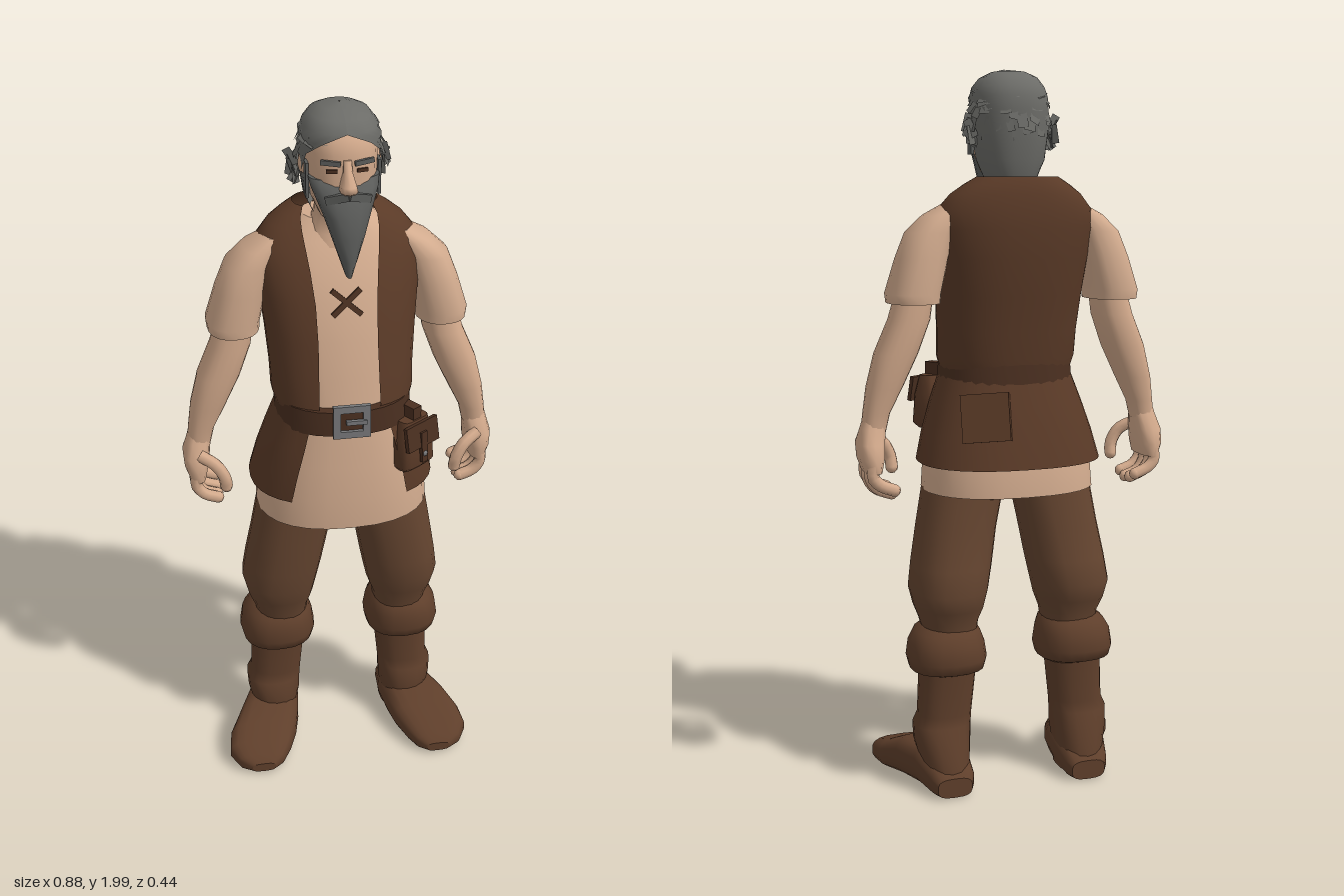
import * as THREE from 'three';
import { mergeGeometries } from 'three/addons/utils/BufferGeometryUtils.js';

const mat = (name, color, side = THREE.FrontSide) => {
  const m = new THREE.MeshStandardMaterial({ color, side });
  m.name = name;
  return m;
};

// Skin over level rings [y, x0, x1, z0, z1, halfOpening], listed bottom to top.
// A halfOpening leaves a gap of that half width at the front.
function loft(rings, { n = 20, p = 0.85, open = false, caps = true } = {}) {
  const pos = [], idx = [], cols = open ? n + 1 : n;
  const sp = v => Math.sign(v) * Math.abs(v) ** p;
  const ringPoints = ([y, x0, x1, z0, z1, w = 0]) => {
    const rx = (x1 - x0) / 2, rz = (z1 - z0) / 2;
    const a = open ? Math.asin(Math.min(1, w / rx) ** (1 / p)) : 0;
    return Array.from({ length: cols }, (_, j) => {
      const t = a + (2 * Math.PI - 2 * a) * j / n;
      return [(x0 + x1) / 2 + rx * sp(Math.sin(t)), y, (z0 + z1) / 2 + rz * sp(Math.cos(t))];
    });
  };
  rings.forEach(r => pos.push(...ringPoints(r).flat()));
  for (let i = 0; i < rings.length - 1; i++) for (let j = 0; j < n; j++) {
    const k = open ? j + 1 : (j + 1) % n;
    const a = i * cols + j, b = i * cols + k;
    idx.push(a, b, a + cols, b, b + cols, a + cols);
  }
  if (caps && !open) for (const top of [false, true]) {
    const r = top ? rings[rings.length - 1] : rings[0], base = pos.length / 3;
    pos.push(...ringPoints(r).flat(), (r[1] + r[2]) / 2, r[0], (r[3] + r[4]) / 2);
    for (let j = 0; j < n; j++) {
      const a = base + j, b = base + (j + 1) % n;
      idx.push(base + n, ...(top ? [a, b] : [b, a]));
    }
  }
  const g = new THREE.BufferGeometry();
  g.setAttribute('position', new THREE.Float32BufferAttribute(pos, 3));
  g.setIndex(idx);
  g.computeVertexNormals();
  return g;
}
// Rings centred on x = 0: [y, halfWidth, z0, z1, halfOpening]
const mid = rows => rows.map(([y, x, ...r]) => [y, -x, x, ...r]);
const flip = (rows, s) => s > 0 ? rows : rows.map(([y, a, b, ...r]) => [y, -b, -a, ...r]);

export function createModel() {
  const root = new THREE.Group();
  root.name = 'beardedVillager';
  const D = THREE.DoubleSide;
  const skin = mat('skin', 0xd3aa8c), linen = mat('linen', 0xd2ab8e, D);
  const leather = mat('vestLeather', 0x5a3a27, D), cloth = mat('trouserBrown', 0x654530);
  const boot = mat('bootBrown', 0x5f3f2b), dark = mat('beltBrown', 0x4a2f20);
  const hair = mat('greyHair', 0x6c6c68, D), beardGrey = mat('beardGrey', 0x5c5d5b);
  const metal = mat('buckleMetal', 0x77787a);

  const add = (name, geo, m, parent = root) => {
    const o = new THREE.Mesh(geo, m);
    o.name = name;
    parent.add(o);
    return o;
  };
  const box = (name, size, at, m, rot = [0, 0, 0], parent = root) => {
    const o = add(name, new THREE.BoxGeometry(...size), m, parent);
    o.position.set(...at);
    o.rotation.set(...rot);
    return o;
  };

  // Tunic, with its skirt below the belt
  add('tunic', loft(mid([[1.18, .165, -.125, .16], [1.3, .175, -.135, .14], [1.4, .185, -.155, .12],
    [1.5, .195, -.17, .092], [1.58, .19, -.175, .058], [1.64, .165, -.17, .022], [1.69, .09, -.15, -.01]])), linen);
  add('tunicSkirt', loft(mid([[.86, .242, -.195, .188], [.95, .235, -.19, .188], [1.05, .212, -.165, .178],
    [1.13, .188, -.14, .17], [1.2, .165, -.125, .16]]), { n: 28, caps: false }), linen);
  add('hips', loft(mid([[.84, .2, -.11, .11], [.95, .2, -.12, .12]])), cloth);

  // Vest, open down the front, and its tails
  add('vest', loft(mid([[1.18, .178, -.135, .172, .08], [1.23, .192, -.147, .167, .082], [1.3, .194, -.155, .153, .08],
    [1.4, .202, -.172, .133, .078], [1.5, .213, -.187, .105, .08], [1.58, .222, -.192, .07, .088],
    [1.63, .213, -.19, .042, .095], [1.67, .18, -.183, .016, .1], [1.695, .145, -.176, -.005, .1],
    [1.715, .112, -.165, -.03, .09]]), { n: 30, open: true }), leather);
  add('vestTails', loft(mid([[.94, .258, -.212, .185, .16], [1.02, .238, -.192, .19, .145],
    [1.1, .212, -.168, .185, .125], [1.2, .176, -.135, .172, .1]]), { n: 28, open: true }), leather);

  // Belt, buckle and bags
  add('belt', loft(mid([[1.155, .187, -.148, .182], [1.225, .182, -.143, .18]]), { n: 28 }), dark);
  const frame = new THREE.Shape([[-.05, -.048], [.05, -.048], [.05, .048], [-.05, .048]].map(q => new THREE.Vector2(...q)));
  frame.holes.push(new THREE.Path([[-.03, -.028], [-.03, .028], [.03, .028], [.03, -.028]].map(q => new THREE.Vector2(...q))));
  add('buckle', new THREE.ExtrudeGeometry(frame, { depth: .012, bevelEnabled: false }), metal).position.set(0, 1.2, .178);
  box('buckleProng', [.055, .012, .01], [.012, 1.2, .19], metal);
  const pouch = new THREE.Group();
  pouch.name = 'pouch';
  pouch.position.set(.172, 1.09, .12);
  pouch.rotation.y = .6;
  root.add(pouch);
  add('pouchBag', loft(mid([[-.075, .05, -.03, .035], [-.06, .062, -.04, .048], [.02, .058, -.035, .042],
    [.075, .045, -.02, .03]]), { n: 16, p: .5 }), leather, pouch);
  box('pouchFlap', [.118, .07, .012], [0, .035, .043], dark, [-.18, 0, 0], pouch);
  box('pouchStrap', [.022, .09, .01], [0, .0, .052], dark, [-.08, 0, 0], pouch);
  box('pouchLoop', [.03, .05, .05], [0, .085, .0], dark, [0, 0, 0], pouch);
  add('pouchStud', new THREE.SphereGeometry(.009, 10, 8), metal, pouch).position.set(0, -.02, .055);
  box('backBag', [.13, .13, .045], [.11, 1.08, -.165], leather, [.2, -.4, 0]);

  // Crossed lace on the chest
  for (const s of [1, -1]) box('chestLace', [.1, .014, .012], [0, 1.505, .098], dark, [-.28, 0, s * .72]);

  for (const s of [1, -1]) {
    const side = s > 0 ? 'left' : 'right';
    const part = (name, rows, m, opt) => add(side + name, loft(flip(rows, s), opt), m);
    // Arm
    part('Sleeve', [[1.385, .212, .352, -.152, .03], [1.41, .21, .355, -.155, .032], [1.5, .19, .326, -.15, .03],
      [1.57, .17, .298, -.14, .022], [1.615, .15, .25, -.13, .01], [1.645, .13, .195, -.11, -.01]], linen);
    part('Forearm', [[1.04, .36, .426, -.088, -.008], [1.09, .348, .42, -.09, -.005], [1.16, .313, .41, -.105, .005],
      [1.25, .27, .387, -.115, .012], [1.34, .237, .348, -.12, .008], [1.45, .222, .315, -.115, 0]], skin);
    // Hand
    part('Palm', [[.935, .378, .425, -.122, .014], [.97, .37, .437, -.126, .02], [1.01, .365, .44, -.112, .016],
      [1.05, .36, .428, -.09, -.005], [1.09, .355, .416, -.08, -.015]], skin, { n: 14, p: .75 });
    const digit = (name, pts, r) => {
      const v = pts.map(([x, y, z]) => new THREE.Vector3(s * x, y, z));
      add(side + name, new THREE.TubeGeometry(new THREE.CatmullRomCurve3(v), 8, r, 8), skin);
      add(side + name + 'Tip', new THREE.SphereGeometry(r, 8, 6), skin).position.copy(v[v.length - 1]);
    };
    [-.107, -.072, -.036, -.002].forEach((z, i) => {
      const drop = [.02, .005, 0, .01][i];
      digit('Finger', [[.405, .96, z], [.408, .915 + drop / 2, z], [.388, .882 + drop, z], [.35, .866 + drop, z]], .017);
    });
    digit('Thumb', [[.395, 1.02, 0], [.352, .995, .02], [.33, .955, .025], [.327, .925, .02]], .018);

    // Trouser leg
    part('TrouserLeg', [[.44, .105, .25, -.11, .06], [.49, .098, .262, -.115, .07], [.53, .083, .278, -.135, .085],
      [.58, .072, .29, -.15, .1], [.65, .058, .28, -.14, .108], [.75, .04, .262, -.12, .113], [.9, .008, .235, -.11, .118]], cloth);
    // Boot
    part('BootCuff', [[.345, .1, .272, -.115, .045], [.355, .085, .295, -.14, .072], [.385, .078, .302, -.15, .082],
      [.43, .085, .295, -.145, .08], [.46, .095, .278, -.125, .07], [.475, .11, .258, -.11, .055]], boot);
    part('BootShaft', [[.02, .135, .265, -.152, .03], [.08, .135, .27, -.145, .045], [.14, .128, .285, -.13, .055],
      [.19, .125, .288, -.115, .04], [.22, .122, .275, -.105, .03], [.36, .108, .268, -.118, .042]], boot);
    // Foot, lofted heel to toe with the toe turned out
    const foot = loft(flip([[-.155, .15, .25, -.06, -.004], [-.13, .137, .265, -.085, -.002], [-.04, .13, .29, -.13, -.002],
      [.04, .14, .325, -.13, -.002], [.1, .155, .358, -.1, -.002], [.16, .18, .366, -.082, -.002],
      [.2, .205, .342, -.062, -.004], [.22, .235, .305, -.04, -.01]], s), { n: 18, p: .65 });
    foot.rotateX(Math.PI / 2);
    add(side + 'Foot', foot, boot);
  }

  // Neck, head and face
  add('neck', loft(mid([[1.58, .1, -.12, .045], [1.66, .08, -.115, .02], [1.71, .062, -.1, .02], [1.8, .06, -.09, .04]])), skin);
  add('head', loft(mid([[1.705, .035, -.02, .08], [1.73, .06, -.06, .1], [1.77, .078, -.085, .108], [1.82, .087, -.1, .11],
    [1.87, .09, -.11, .106], [1.9, .09, -.115, .108], [1.94, .085, -.11, .095], [1.97, .065, -.09, .06], [1.985, .03, -.05, .02]])), skin);
  add('nose', loft(mid([[1.805, .014, .09, .13], [1.818, .023, .09, .154], [1.832, .02, .09, .15], [1.86, .012, .09, .13],
    [1.89, .01, .09, .114]]), { n: 10 }), skin);
  for (const s of [1, -1]) {
    box('eye', [.028, .009, .006], [s * .038, 1.862, .103], dark, [0, s * .2, 0]);
    box('eyebrow', [.05, .012, .008], [s * .042, 1.884, .106], beardGrey, [0, s * .25, s * .08]);
    const ear = add('ear', new THREE.SphereGeometry(.026, 10, 8), skin);
    ear.scale.set(.5, 1.2, .8);
    ear.position.set(s * .093, 1.845, -.015);
    box('moustache', [.06, .02, .02], [s * .027, 1.8, .122], beardGrey, [0, s * .35, -s * .25]);
    box('sideburn', [.008, .09, .035], [s * .091, 1.82, .03], beardGrey);
  }
  add('beard', loft(mid([[1.595, .008, .085, .148], [1.64, .023, .075, .155], [1.7, .043, .062, .155], [1.75, .06, .035, .148],
    [1.79, .076, .02, .132], [1.815, .086, .01, .118], [1.835, .09, .005, .095]]), { n: 16 }), beardGrey);

  // Hair cap, open over the face, with loose locks laid over it
  add('hairCap', loft(mid([[1.715, .07, -.115, .04, .066], [1.76, .09, -.128, .06, .089], [1.83, .101, -.135, .085, .1],
    [1.89, .103, -.138, .1, .092], [1.925, .102, -.135, .108, .06], [1.95, .094, -.125, .1, .0], [1.975, .075, -.105, .075, 0],
    [1.99, .045, -.07, .04, 0], [1.996, .002, -.02, -.015, 0]]), { n: 24, open: true }), hair);
  let seed = 7;
  const rnd = () => (seed = seed * 16807 % 2147483647) / 2147483647;
  const locks = [];
  const up = new THREE.Vector3(0, 1, 0);
  for (let i = 0; i < 170; i++) {
    const t = rnd() * 2 * Math.PI, h = rnd() * 1.65 - .75;
    if (Math.cos(t) > .35 && h < .55) continue;
    const c = Math.sqrt(1 - h * h) || .1;
    const out = new THREE.Vector3(Math.sin(t) * c, h, Math.cos(t) * c);
    const q = new THREE.Matrix4().lookAt(out, new THREE.Vector3(), up);
    const g = new THREE.PlaneGeometry(.018 + rnd() * .02, .04 + rnd() * .035);
    g.rotateX(-.22 * rnd()).rotateZ((rnd() - .5) * .9).applyMatrix4(q);
    g.translate(out.x * .107, 1.865 + out.y * .131, -.018 + out.z * .12);
    locks.push(g);
  }
  // Tufts over the ears
  for (const s of [1, -1]) for (let i = 0; i < 9; i++) {
    const g = new THREE.PlaneGeometry(.022, .05);
    g.rotateY(rnd() * 3).rotateZ((rnd() - .5) * 1.4);
    g.translate(s * (.108 + rnd() * .016), 1.81 + rnd() * .05, -.06 + rnd() * .04);
    locks.push(g);
  }
  add('hairLocks', mergeGeometries(locks), hair);
  return root;
}
